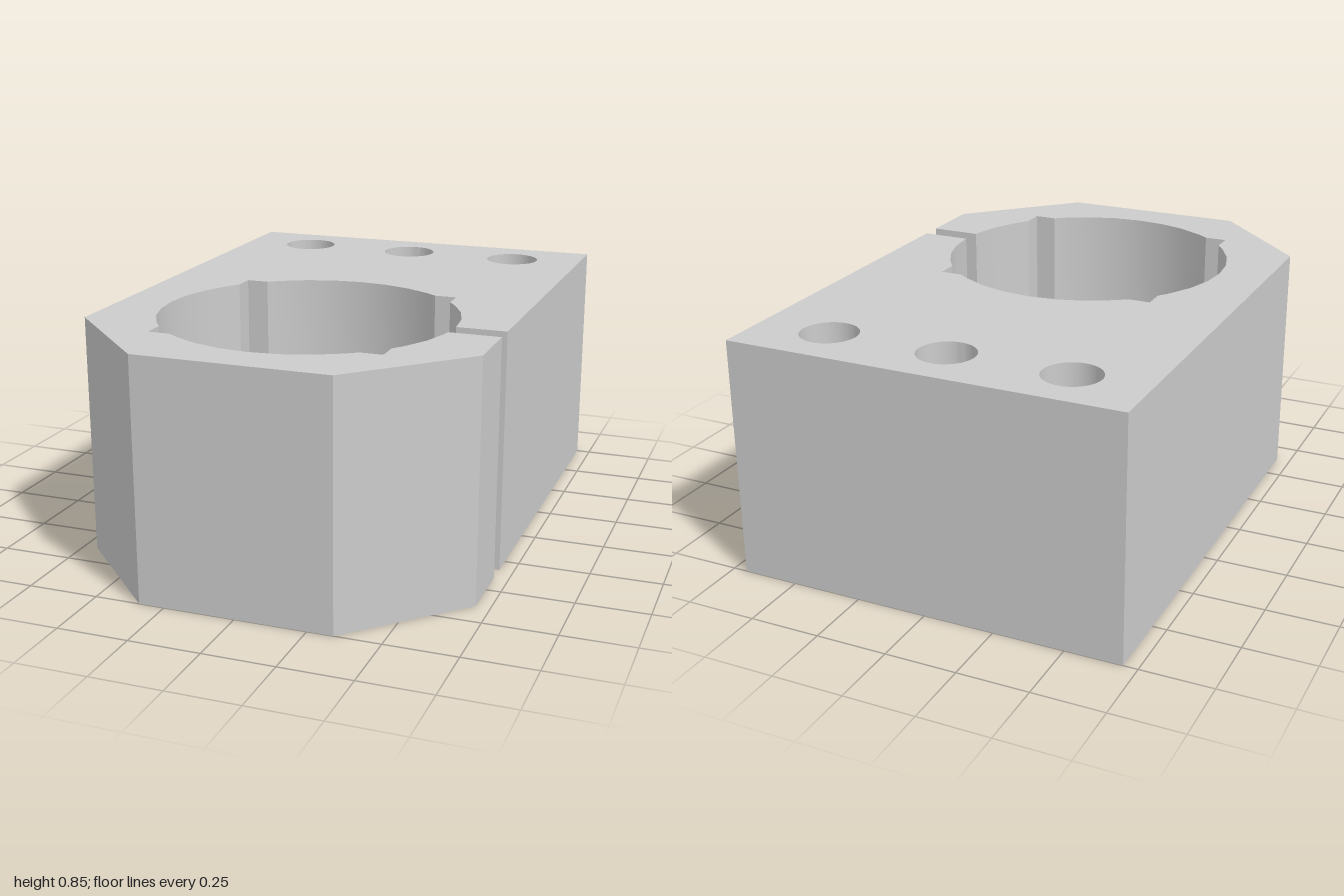
import * as THREE from 'three';
import { toCreasedNormals } from 'three/addons/utils/BufferGeometryUtils.js';

const HEIGHT = 0.85;
const BORE_Z = 0.326, BORE_R = 0.524, NOTCH = 0.408;
const SLOT_BACK = 0.326, SLOT_FRONT = 0.4;

// Plan profile is drawn with shape y = -z, then laid flat.
function createProfile() {
  const shape = new THREE.Shape();
  const arcPoint = (a) => shape.lineTo(BORE_R * Math.cos(a), -BORE_Z + BORE_R * Math.sin(a));

  // Clockwise arc between two angles, with vertices on a 32-sided division
  const arc = (from, to) => {
    const step = Math.PI / 16;
    arcPoint(from);
    for (let k = Math.ceil(from / step) - 1; k * step > to + 1e-4; k--) arcPoint(k * step);
    arcPoint(to);
  };

  // Outer block with two chamfered front corners
  shape.moveTo(0.7, -SLOT_BACK);
  shape.lineTo(0.7, 1);
  shape.lineTo(-0.7, 1);
  shape.lineTo(-0.7, -0.635);
  shape.lineTo(-0.34, -1);
  shape.lineTo(0.34, -1);
  shape.lineTo(0.7, -0.635);
  shape.lineTo(0.7, -SLOT_FRONT);

  // Clamp slot leads into the bore, which has four square corner notches
  const edge = Math.acos(NOTCH / BORE_R);
  let start = -Math.asin((SLOT_FRONT - BORE_Z) / BORE_R);
  for (let q = 0; q < 4; q++) {
    const quarter = -q * Math.PI / 2;
    arc(start, quarter - edge);
    const corner = quarter - Math.PI / 4;
    shape.lineTo(NOTCH * Math.SQRT2 * Math.cos(corner), -BORE_Z + NOTCH * Math.SQRT2 * Math.sin(corner));
    start = quarter - Math.PI / 2 + edge;
  }
  arc(start, -2 * Math.PI);
  shape.closePath();

  // Row of mounting holes at the back
  for (const x of [-0.435, 0, 0.435]) {
    const hole = new THREE.Path();
    hole.absarc(x, 0.8, 0.1, 0, Math.PI * 2, true);
    shape.holes.push(hole);
  }
  return shape;
}

export function createModel() {
  const group = new THREE.Group();
  group.name = 'clampBlock';
  const extruded = new THREE.ExtrudeGeometry(createProfile(), {
    depth: HEIGHT, bevelEnabled: false, curveSegments: 32,
  });
  extruded.rotateX(-Math.PI / 2);
  const body = new THREE.Mesh(
    toCreasedNormals(extruded, 0.5),
    new THREE.MeshStandardMaterial({ color: 0xcccccc }),
  );
  body.name = 'splitClampBody';
  group.add(body);
  return group;
}
